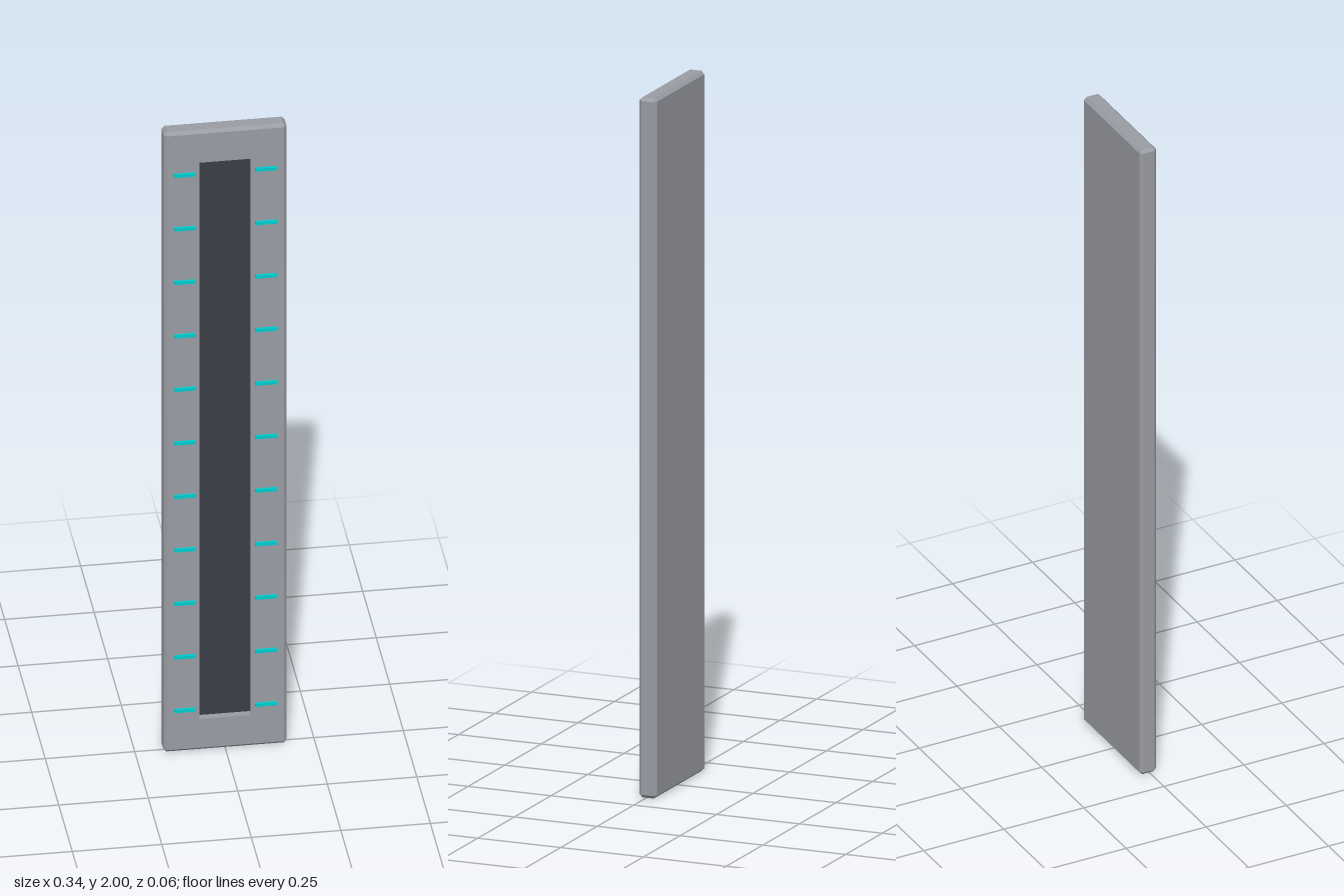
import * as THREE from 'three';

const HALF_W = 0.172, HALF_H = 1, BEVEL = 0.009;
const BACK = -0.031, FRONT = 0.021, FLOOR = 0;
const SLOT_W = 0.072, SLOT_H = 0.898;

// Eight-point rectangle loop; cut clips the corners
const ring = (w, h, z, cut = 0) => [
  [w, -h + cut, z], [w, h - cut, z], [w - cut, h, z], [-w + cut, h, z],
  [-w, h - cut, z], [-w, -h + cut, z], [-w + cut, -h, z], [w - cut, -h, z],
];

// Flat-shaded skin across successive loops
function loft(rings) {
  const points = [];
  const triangle = (...corners) => {
    const [a, b, c] = corners.map((p) => new THREE.Vector3(...p));
    if (new THREE.Triangle(a, b, c).getArea() > 1e-9) points.push(a, b, c);
  };
  for (let r = 0; r < rings.length - 1; r++) {
    for (let i = 0; i < 8; i++) {
      const j = (i + 1) % 8;
      const [a, b] = [rings[r][i], rings[r][j]];
      const [c, d] = [rings[r + 1][j], rings[r + 1][i]];
      triangle(a, b, c);
      triangle(a, c, d);
    }
  }
  const geometry = new THREE.BufferGeometry().setFromPoints(points);
  geometry.computeVertexNormals();
  return geometry;
}

export function createModel() {
  const model = new THREE.Group();
  model.name = 'slottedPanel';
  const material = (name, color) => {
    const m = new THREE.MeshStandardMaterial({ color });
    m.name = name;
    return m;
  };
  const grey = material('panelGrey', 0x9a9ca4);
  const dark = material('slotDark', 0x3a3f46);
  const cyan = material('markCyan', 0x00cccc);

  const add = (name, geometry, mat, x, y, z) => {
    const mesh = new THREE.Mesh(geometry, mat);
    mesh.name = name;
    mesh.position.set(x, y, z);
    model.add(mesh);
  };

  // Chamfered panel, from the closed back round to the recess walls
  add('panel', loft([
    ring(0, 0, BACK),
    ring(HALF_W - BEVEL, HALF_H - BEVEL, BACK),
    ring(HALF_W, HALF_H, BACK + BEVEL, BEVEL),
    ring(HALF_W, HALF_H, FRONT - BEVEL, BEVEL),
    ring(HALF_W - BEVEL, HALF_H - BEVEL, FRONT),
    ring(SLOT_W, SLOT_H, FRONT),
    ring(SLOT_W, SLOT_H, FLOOR),
  ]), grey, 0, HALF_H, 0);

  // Dark floor of the slot
  add('slotFloor', new THREE.PlaneGeometry(SLOT_W * 2, SLOT_H * 2), dark, 0, HALF_H, FLOOR);

  // Eleven scale marks on each side
  const mark = new THREE.BoxGeometry(0.06, 0.01, 0.009);
  for (let i = 0; i < 11; i++) {
    const y = HALF_H + (i - 5) * 0.1728;
    add('leftMark', mark, cyan, 0.113, y, FRONT + 0.003);
    add('rightMark', mark, cyan, -0.113, y, FRONT + 0.003);
  }
  return model;
}
